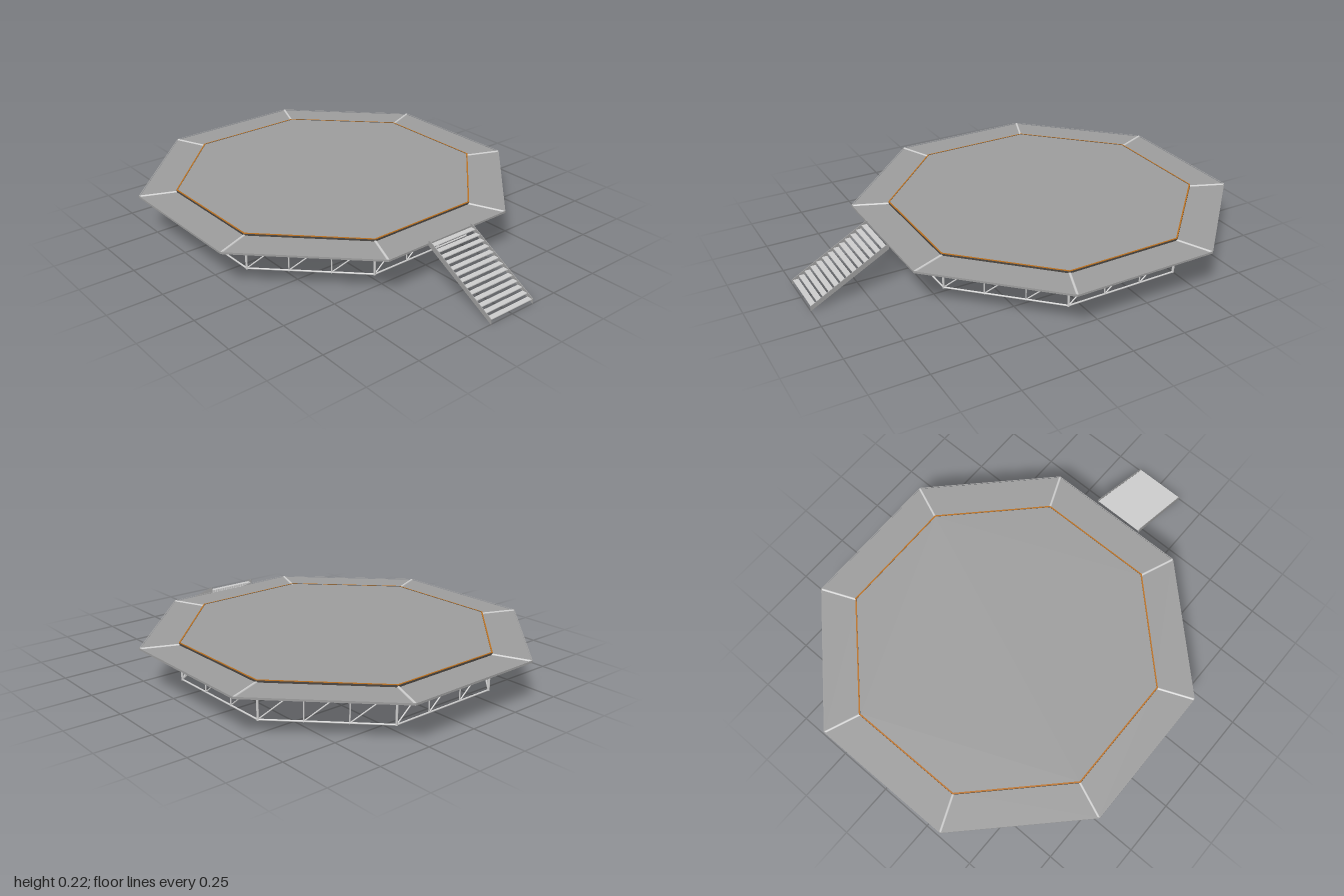
import * as THREE from 'three';

const CZ = -0.184;                 // centre of the octagon in z
const TURN = THREE.MathUtils.degToRad(0.55);
const grey = new THREE.MeshStandardMaterial({ color: 0xcccccc });
const deckGrey = new THREE.MeshStandardMaterial({ color: 0x9c9c9c });
const orange = new THREE.MeshStandardMaterial({ color: 0xb87022 });
const dark = new THREE.MeshStandardMaterial({ color: 0x4a4642 });

// Corner k of an octagon with circumradius r at height y
function corner(k, r, y) {
  const a = (k + 0.5) * Math.PI / 4 + TURN;
  return new THREE.Vector3(r * Math.sin(a), y, CZ + r * Math.cos(a));
}

function octagon(r, Type = THREE.Shape) {
  const points = [];
  for (let k = 0; k < 8; k++) {
    const c = corner(k, r, 0);
    points.push(new THREE.Vector2(c.x, c.z));
  }
  return new Type(points);
}

// Flat octagonal plate, top face at y
function plate(name, shape, y, thick, material) {
  const g = new THREE.ExtrudeGeometry(shape, { depth: thick, bevelEnabled: false });
  g.rotateX(Math.PI / 2);
  const m = new THREE.Mesh(g, material);
  m.position.y = y;
  m.name = name;
  return m;
}

function ring(outer, inner) {
  const s = octagon(outer);
  s.holes.push(octagon(inner, THREE.Path));
  return s;
}

// Smooth round tube between two points
function tube(name, a, b, radius) {
  const d = b.clone().sub(a);
  const m = new THREE.Mesh(new THREE.CylinderGeometry(radius, radius, d.length(), 16), grey);
  m.position.copy(a).add(b).multiplyScalar(0.5);
  m.quaternion.setFromUnitVectors(new THREE.Vector3(0, 1, 0), d.normalize());
  m.name = name;
  return m;
}

function createTruss() {
  const truss = new THREE.Group();
  truss.name = 'trussSupport';
  const R = 0.705, LOW = 0.037, HIGH = 0.187, BAYS = 3;
  for (let k = 0; k < 8; k++) {
    const side = new THREE.Group();
    side.name = 'trussSide';
    const at = (i, y) => corner(k, R, y).lerp(corner(k + 1, R, y), i / BAYS);
    side.add(tube('bottomChord', at(0, LOW), at(BAYS, LOW), 0.004));
    side.add(tube('topChord', at(0, HIGH), at(BAYS, HIGH), 0.004));
    for (let i = 0; i < BAYS; i++) {
      side.add(tube('post', at(i, LOW - 0.004), at(i, HIGH + 0.004), i ? 0.003 : 0.005));
      side.add(tube('diagonalBrace', at(i, LOW), at(i + 1, HIGH), 0.003));
    }
    truss.add(side);
  }
  return truss;
}

function createWalkway() {
  const walkway = new THREE.Group();
  walkway.name = 'walkway';
  walkway.add(plate('walkwayPanel', ring(0.877, 0.7), 0.196, 0.003, deckGrey));
  walkway.add(plate('outerRim', ring(0.881, 0.876), 0.2, 0.009, deckGrey));
  // Joint tubes running from each inner corner to the outer rim
  for (let k = 0; k < 8; k++) {
    walkway.add(tube('cornerJoint', corner(k, 0.71, 0.195), corner(k, 0.877, 0.195), 0.006));
  }
  return walkway;
}

function createStairs() {
  const stairs = new THREE.Group();
  stairs.name = 'stairs';
  const HALF = 0.122, THICK = 0.003;
  // Side stringers, profile drawn as (z, y)
  const profile = new THREE.Shape([[1, 0], [1, 0.022], [0.648, 0.217], [0.638, 0.217], [0.638, 0.195]]
    .map(p => new THREE.Vector2(...p)));
  const g = new THREE.ExtrudeGeometry(profile, { depth: THICK, bevelEnabled: false });
  g.rotateY(-Math.PI / 2);
  for (const x of [HALF, -HALF + THICK]) {
    const m = new THREE.Mesh(g, deckGrey);
    m.position.x = x;
    m.name = 'stringer';
    stairs.add(m);
  }
  // Open treads
  const STEPS = 13;
  const tread = new THREE.BoxGeometry(2 * (HALF - THICK), 0.004, 0.024);
  for (let i = 0; i < STEPS; i++) {
    const t = i / (STEPS - 1);
    const m = new THREE.Mesh(tread, grey);
    m.position.set(0, THREE.MathUtils.lerp(0.018, 0.2, t), THREE.MathUtils.lerp(0.984, 0.654, t));
    m.name = 'tread';
    stairs.add(m);
  }
  return stairs;
}

export function createModel() {
  const model = new THREE.Group();
  model.name = 'octagonalPlatform';
  model.add(plate('floor', octagon(0.706), 0.203, 0.006, deckGrey));
  // Dark edge band with a thin coloured strip on top
  model.add(plate('floorEdge', ring(0.713, 0.706), 0.2045, 0.0095, dark));
  model.add(plate('floorTrim', ring(0.713, 0.706), 0.2065, 0.002, orange));
  model.add(createWalkway(), createTruss(), createStairs());
  return model;
}
